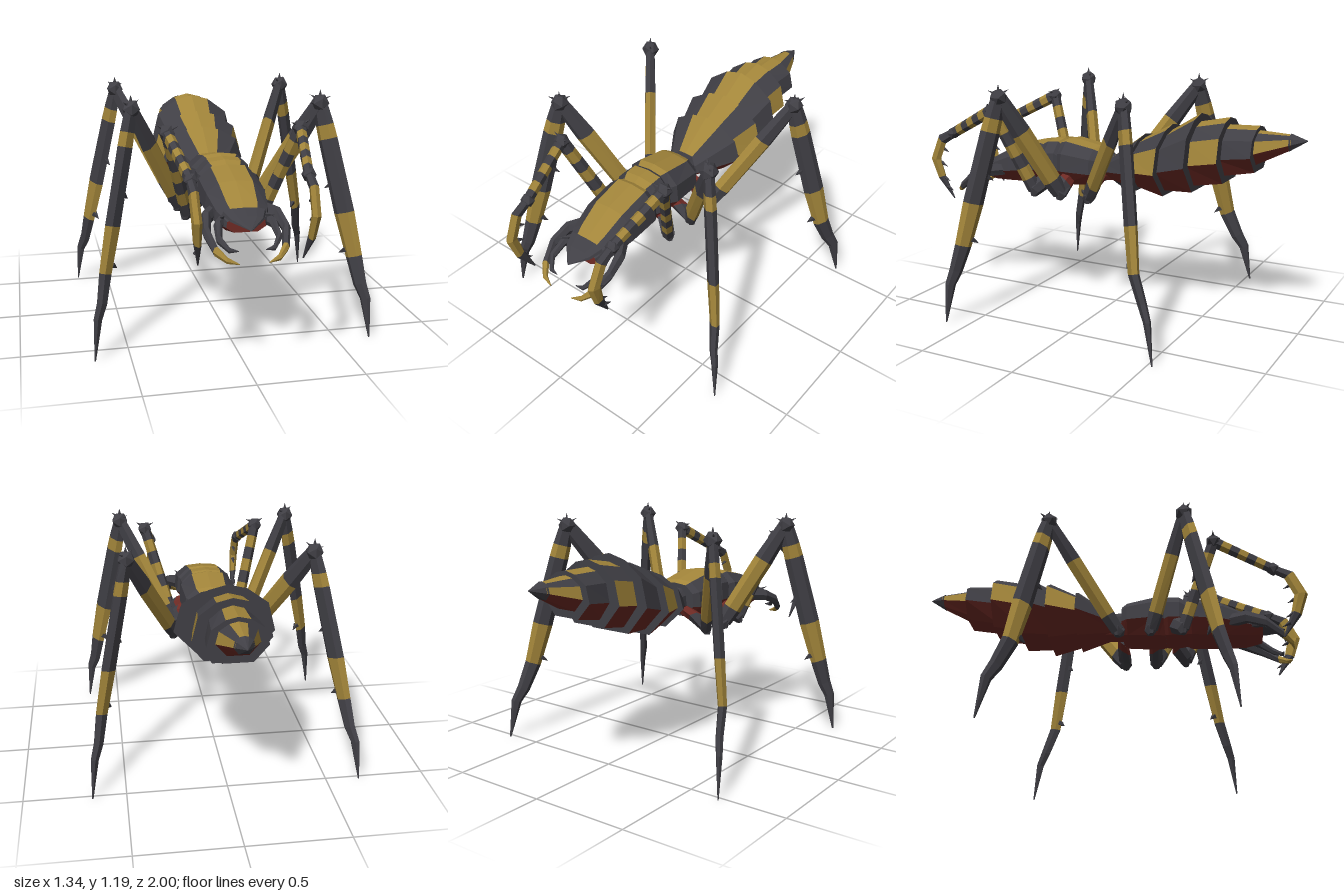
import * as THREE from 'three';

const dark = new THREE.MeshStandardMaterial({ color: 0x403f45 });
dark.name = 'charcoal shell';
const yellow = new THREE.MeshStandardMaterial({ color: 0xa2853a });
yellow.name = 'ochre marking';
const red = new THREE.MeshStandardMaterial({ color: 0x702b25 });
red.name = 'rust underside';
const materials = [dark, yellow, red];
const D = 0, Y = 1, R = 2;
const V = (x, y, z) => new THREE.Vector3(x, y, z);

// Faceted closed loft through rings of points; colourOf(span, side) picks each face's material.
function loft(name, rings, colourOf, startCap = D, endCap = D) {
  const tris = [[], [], []];
  const n = rings[0].length;
  rings.slice(1).forEach((next, i) => {
    const ring = rings[i];
    for (let j = 0; j < n; j++) {
      const k = (j + 1) % n;
      const list = tris[colourOf(i, j)];
      list.push([ring[j], ring[k], next[k]], [ring[j], next[k], next[j]]);
    }
  });
  const last = rings[rings.length - 1];
  for (let j = 1; j < n - 1; j++) {
    tris[startCap].push([rings[0][0], rings[0][j + 1], rings[0][j]]);
    tris[endCap].push([last[0], last[j], last[j + 1]]);
  }
  // A negative enclosed volume means the faces point inwards
  let volume = 0;
  for (const [a, b, c] of tris.flat()) volume += a.dot(b.clone().cross(c));
  const geometry = new THREE.BufferGeometry();
  const positions = [];
  tris.forEach((list, m) => {
    if (list.length) geometry.addGroup(positions.length / 3, list.length * 3, m);
    for (const [a, b, c] of list) {
      for (const p of volume < 0 ? [a, c, b] : [a, b, c]) positions.push(p.x, p.y, p.z);
    }
  });
  geometry.setAttribute('position', new THREE.Float32BufferAttribute(positions, 3));
  geometry.computeVertexNormals();
  const mesh = new THREE.Mesh(geometry, materials);
  mesh.name = name;
  return mesh;
}

// Half outlines as [width fraction, height fraction], from the top ridge to the belly
const abdomenHalf = [[0, 1], [0.4, 0.94], [0.85, 0.74], [1, 0.37], [0.5, 0]];
const thoraxHalf = [[0, 1], [0.56, 0.96], [0.95, 0.72], [1, 0.33], [0.6, 0]];

// Symmetric body piece; stations are [z, half width, top, bottom]
function body(name, half, stations, colours, startCap, endCap) {
  const outline = [...half, ...half.slice(1).reverse().map(([x, y]) => [-x, y])];
  const rings = stations.map(([z, w, top, bottom]) =>
    outline.map(([x, y]) => V(x * w, bottom + y * (top - bottom), z)));
  return loft(name, rings, (i, j) => colours[Math.min(j, 8 - j)], startCap, endCap);
}

// Six-sided limb; stations are [x, y, z, side radius, depth radius, colour of next span]
function limb(name, stations, side) {
  const points = stations.map(([x, y, z]) => V(x, y, z));
  const rings = stations.map((s, i) => {
    const tangent = points[Math.min(i + 1, points.length - 1)].clone().sub(points[Math.max(i - 1, 0)]);
    const across = side.clone().normalize();
    const depth = across.clone().cross(tangent).normalize();
    return Array.from({ length: 6 }, (_, k) => points[i].clone()
      .addScaledVector(across, Math.sin(k * Math.PI / 3) * s[3])
      .addScaledVector(depth, Math.cos(k * Math.PI / 3) * s[4]));
  });
  return loft(name, rings, (i) => stations[i][5], D, D);
}

// Stations along a straight line; stops are [t, side radius, depth radius, colour]
const along = (a, b, stops) => stops.map(([t, ...rest]) =>
  [...a.map((v, i) => v + (b[i] - v) * t), ...rest]);

function joint(name, [x, y, z], radius) {
  const mesh = new THREE.Mesh(new THREE.IcosahedronGeometry(radius, 0), dark);
  mesh.name = name;
  mesh.position.set(x, y, z);
  return mesh;
}

function spine([x, y, z], direction, length, radius = 0.013) {
  const geometry = new THREE.ConeGeometry(radius, length, 4).toNonIndexed();
  geometry.computeVertexNormals();
  geometry.translate(0, length / 2, 0);
  const mesh = new THREE.Mesh(geometry, dark);
  mesh.name = 'spine';
  mesh.position.set(x, y, z);
  mesh.quaternion.setFromUnitVectors(V(0, 1, 0), direction.clone().normalize());
  return mesh;
}

// Hip block reaching out and down from the thorax
const coxa = (x, z, hip, side) => limb('coxa', [
  [x * 0.08, 0.69, z, 0.035, 0.04, R], [x * 0.14, 0.665, z, 0.04, 0.045, D],
  [hip[0], hip[1], hip[2], 0.036, 0.04, D], [hip[0] + x * 0.01, hip[1] - 0.035, hip[2], 0.015, 0.015, D],
], side);

// Long walking leg; footZ gives z at the four foot stations
function walkingLeg(name, x, hipZ, kneeZ, footZ) {
  const group = new THREE.Group();
  group.name = name;
  const hip = [x * 0.2, 0.62, hipZ], knee = [x * 0.45, 1.13, kneeZ], ankle = [x * 0.6, 0.4, footZ[0]];
  const outward = V(x * 0.46, 0, footZ[3] - hipZ).normalize();
  const side = V(-outward.z, 0, outward.x);
  group.add(
    coxa(x, hipZ, hip, side),
    limb('femur', along(hip, knee, [
      [0, 0.03, 0.04, D], [0.14, 0.032, 0.048, Y], [0.64, 0.03, 0.05, D], [1, 0.024, 0.038, D]]), side),
    joint('knee', knee, 0.045),
    limb('tibia', [
      ...along(knee, ankle, [[0, 0.024, 0.036, D], [0.14, 0.027, 0.046, Y], [0.23, 0.028, 0.049, D],
        [0.71, 0.026, 0.052, Y], [1, 0.022, 0.042, D]]),
      [x * 0.622, 0.27, footZ[1], 0.019, 0.034, D],
      [x * 0.645, 0.2, footZ[2], 0.016, 0.027, D],
      [x * 0.665, 0.005, footZ[3], 0.003, 0.004, D]], side),
    spine([knee[0], 1.15, kneeZ], V(0, 1, 0), 0.045),
    spine([knee[0], 1.14, kneeZ], outward.clone().add(V(0, 0.5, 0)), 0.06),
    spine([knee[0], 1.14, kneeZ], outward.clone().negate().add(V(0, 0.5, 0)), 0.06));
  // Small spines under the tibia
  for (const t of [0.53, 0.96]) {
    const p = ankle.map((v, i) => knee[i] + (v - knee[i]) * t);
    group.add(spine([p[0] - outward.x * 0.035, p[1], p[2] - outward.z * 0.035],
      outward.clone().negate().add(V(0, -0.7, 0)), 0.045, 0.018));
  }
  return group;
}

// Short raised foreleg with a hooked foot
function foreLeg(x) {
  const group = new THREE.Group();
  group.name = 'foreLeg';
  const hip = [x * 0.19, 0.62, 0.38], knee = [x * 0.31, 1.04, 0.55], wrist = [x * 0.26, 0.89, 0.84];
  const femurSide = V(-0.17, 0, x * 0.12), tibiaSide = V(1, 0, 0.17 * x);
  const bands = (r0, r1, count, first) => Array.from({ length: count + 1 }, (_, i) => {
    const r = r0 + (r1 - r0) * i / count;
    return [i / count, r * 0.8, r, (i + first) % 2];
  });
  group.add(
    coxa(x, 0.34, hip, femurSide),
    limb('femur', along(hip, knee, bands(0.036, 0.032, 7, 0)), femurSide),
    joint('knee', knee, 0.04),
    limb('tibia', along(knee, wrist, bands(0.032, 0.028, 7, 0)), tibiaSide),
    joint('wrist', wrist, 0.034),
    limb('foot', [[...wrist, 0.02, 0.024, D], [x * 0.26, 0.85, 0.915, 0.021, 0.032, Y],
      [x * 0.257, 0.74, 0.965, 0.021, 0.034, Y], [x * 0.25, 0.64, 0.935, 0.017, 0.026, D],
      [x * 0.235, 0.525, 0.87, 0.003, 0.004, D]], tibiaSide),
    spine([knee[0], 1.05, knee[2]], V(x, 0.6, 0), 0.055),
    spine([knee[0], 1.05, knee[2]], V(-x, 0.4, 0.3), 0.055));
  for (const [y, z] of [[0.8, 0.92], [0.72, 0.935], [0.64, 0.92], [0.59, 0.9]]) {
    group.add(spine([x * 0.25, y, z], V(0, -0.5, -1), 0.045, 0.012));
  }
  return group;
}

// Outer jaw with an ochre tip, inner dark jaw and a small feeler
function jaws(x) {
  const group = new THREE.Group();
  group.name = 'jaws';
  const up = V(0, 1, 0);
  group.add(
    limb('outerJaw', [[x * 0.11, 0.69, 0.62, 0.035, 0.03, D], [x * 0.165, 0.68, 0.7, 0.034, 0.026, D],
      [x * 0.18, 0.64, 0.79, 0.028, 0.02, D], [x * 0.155, 0.58, 0.87, 0.022, 0.017, Y],
      [x * 0.115, 0.55, 0.915, 0.014, 0.012, Y], [x * 0.065, 0.535, 0.93, 0.002, 0.002, Y]], up),
    limb('innerJaw', [[x * 0.08, 0.68, 0.7, 0.025, 0.022, D], [x * 0.125, 0.665, 0.77, 0.025, 0.02, D],
      [x * 0.135, 0.62, 0.84, 0.02, 0.015, D], [x * 0.1, 0.585, 0.885, 0.013, 0.01, D],
      [x * 0.06, 0.58, 0.89, 0.002, 0.002, D]], up),
    spine([x * 0.09, 0.69, 0.73], V(x * 0.5, 0.25, 1), 0.08, 0.015));
  return group;
}

export function createModel() {
  const model = new THREE.Group();
  model.name = 'armouredInsect';

  // Overlapping abdomen plates, each flaring backwards; every second one has ochre flanks
  const plates = [
    [[0.02, 0.09, 0.79, 0.69], [-0.17, 0.215, 0.93, 0.655]],
    [[-0.15, 0.175, 0.9, 0.675], [-0.32, 0.24, 0.99, 0.645]],
    [[-0.3, 0.19, 0.95, 0.67], [-0.47, 0.225, 1.055, 0.68]],
    [[-0.45, 0.165, 1.01, 0.705], [-0.62, 0.185, 1.045, 0.735]],
    [[-0.6, 0.125, 1.01, 0.765], [-0.77, 0.14, 1.015, 0.8]],
    [[-0.75, 0.108, 0.995, 0.825], [-0.93, 0.042, 0.985, 0.915]],
  ];
  plates.forEach((stations, i) => model.add(
    body('abdomenPlate', abdomenHalf, stations, [Y, D, i % 2 ? Y : D, R, R])));
  model.add(body('tailTip', abdomenHalf,
    [[-0.92, 0.047, 0.99, 0.908], [-1, 0.002, 0.962, 0.958]], [D, D, D, D, D]));

  // Waist, thorax, neck and head
  const shell = [Y, D, D, R, R];
  model.add(
    body('waist', thoraxHalf, [[-0.03, 0.075, 0.8, 0.68], [0.09, 0.07, 0.81, 0.67]], [D, D, D, R, R]),
    body('thorax', thoraxHalf, [[0.06, 0.115, 0.83, 0.66], [0.09, 0.14, 0.845, 0.65],
      [0.25, 0.15, 0.875, 0.64], [0.285, 0.125, 0.865, 0.64]], shell),
    body('neckPlate', thoraxHalf, [[0.27, 0.12, 0.84, 0.645], [0.3, 0.14, 0.87, 0.64],
      [0.36, 0.14, 0.865, 0.64], [0.4, 0.115, 0.845, 0.64]], shell),
    body('head', thoraxHalf, [[0.38, 0.12, 0.84, 0.645], [0.42, 0.148, 0.855, 0.635],
      [0.58, 0.145, 0.815, 0.625], [0.7, 0.125, 0.75, 0.62], [0.78, 0.09, 0.7, 0.63]], shell, D, R),
    body('browPoint', thoraxHalf, [[0.74, 0.1, 0.73, 0.69], [0.8, 0.075, 0.705, 0.675],
      [0.87, 0.004, 0.665, 0.66]], [D, D, D, D, D]));

  // Mirrored limbs
  for (const x of [1, -1]) {
    model.add(
      foreLeg(x),
      walkingLeg('middleLeg', x, 0.22, 0.41, [0.545, 0.58, 0.6, 0.62]),
      walkingLeg('hindLeg', x, 0.05, -0.27, [-0.4, -0.455, -0.49, -0.525]),
      jaws(x));
  }
  return model;
}
